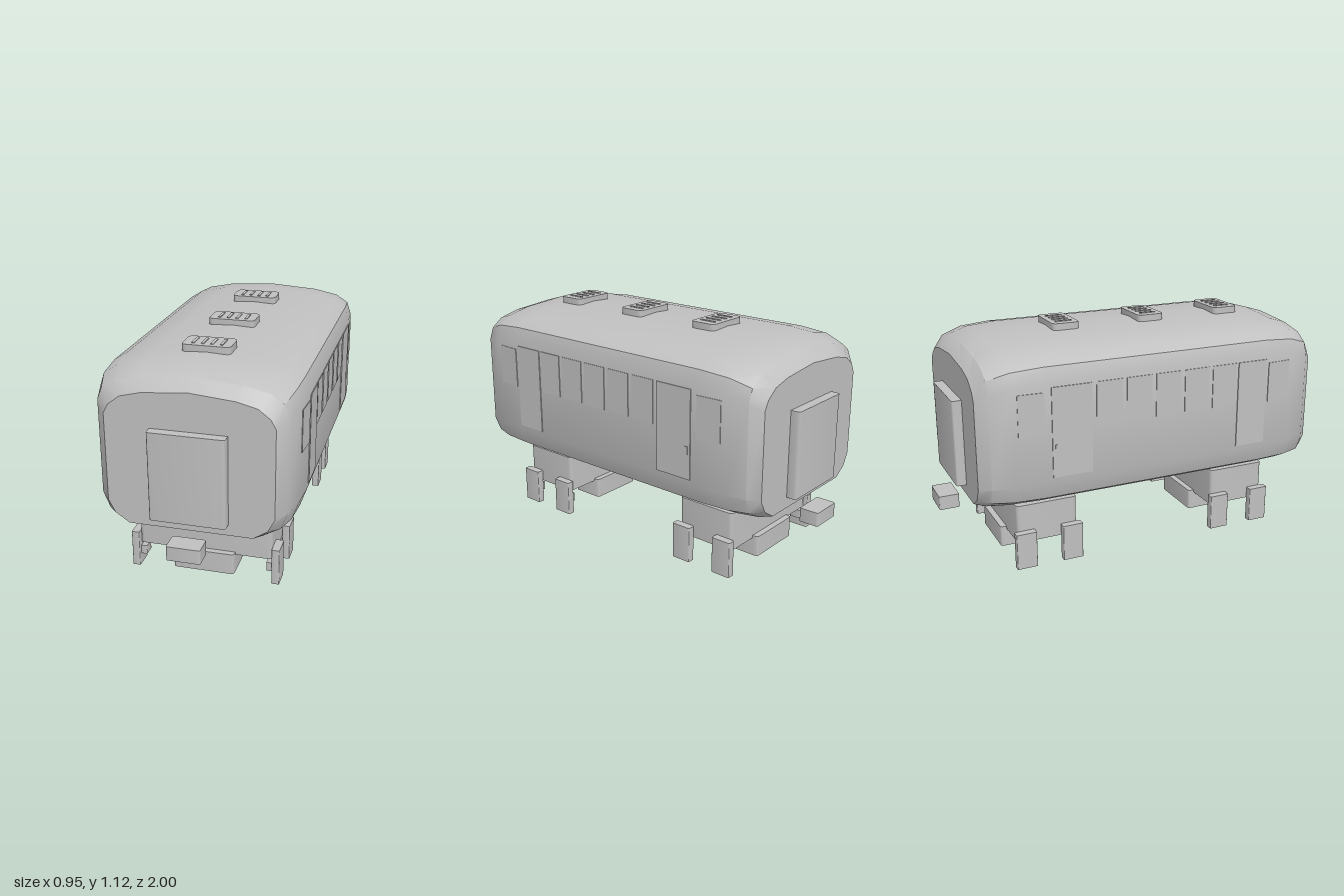
import * as THREE from 'three';
import { toCreasedNormals } from 'three/addons/utils/BufferGeometryUtils.js';

const grey = new THREE.MeshStandardMaterial({ color: 0xc0c0c0 });

// Box given by its centre and size, with the four vertical edges rounded
function block(parent, name, [x, y, z], [w, h, d], r = 0.01) {
  let geo;
  if (r > 0) {
    const a = w / 2, b = d / 2;
    const s = new THREE.Shape();
    s.moveTo(-a + r, -b).lineTo(a - r, -b).quadraticCurveTo(a, -b, a, -b + r);
    s.lineTo(a, b - r).quadraticCurveTo(a, b, a - r, b);
    s.lineTo(-a + r, b).quadraticCurveTo(-a, b, -a, b - r);
    s.lineTo(-a, -b + r).quadraticCurveTo(-a, -b, -a + r, -b);
    geo = new THREE.ExtrudeGeometry(s, { depth: h, bevelEnabled: false, curveSegments: 3 });
    geo.rotateX(-Math.PI / 2).translate(0, -h / 2, 0);
    geo = toCreasedNormals(geo, 0.6);
  } else {
    geo = new THREE.BoxGeometry(w, h, d);
  }
  const mesh = new THREE.Mesh(geo, grey);
  mesh.name = name;
  mesh.position.set(x, y, z);
  parent.add(mesh);
  return mesh;
}

// Body shell lofted from a full middle section to a smaller end section
function bodyGeometry() {
  const middle = [[0.35, 0.335], [0.435, 0.38], [0.466, 0.47], [0.466, 0.94], [0.444, 1.01], [0.38, 1.05], [0.25, 1.076], [0, 1.091]];
  const end = [[0.285, 0.347], [0.35, 0.39], [0.382, 0.45], [0.382, 0.87], [0.36, 0.912], [0.305, 0.955], [0.21, 0.979], [0, 0.998]];
  const half = [[0.886, 0], [0.835, 0.55], [0.734, 0.88], [0.584, 1]];
  const stations = [...half, ...half.slice().reverse().map(([z, t]) => [-z, t])];
  const rings = stations.map(([z, t]) => {
    const right = middle.map(([x, y], i) => [
      THREE.MathUtils.lerp(end[i][0], x, t), THREE.MathUtils.lerp(end[i][1], y, t), z]);
    const left = right.slice(0, -1).reverse().map(([x, y]) => [-x, y, z]);
    return [...right, ...left];
  });
  const n = rings[0].length, pos = [];
  const tri = (...pts) => pts.forEach((p) => pos.push(...p));
  for (let s = 0; s < rings.length - 1; s++) {
    for (let i = 0; i < n; i++) {
      const j = (i + 1) % n, a = rings[s], b = rings[s + 1];
      tri(a[i], b[i], b[j]);
      tri(a[i], b[j], a[j]);
    }
  }
  const first = rings[0], last = rings[rings.length - 1];
  for (let i = 0; i < n; i++) {
    const j = (i + 1) % n;
    tri([0, 0.65, 0.886], first[i], first[j]);
    tri([0, 0.65, -0.886], last[j], last[i]);
  }
  const geo = new THREE.BufferGeometry();
  geo.setAttribute('position', new THREE.Float32BufferAttribute(pos, 3));
  return toCreasedNormals(geo, 0.52);
}

export function createModel() {
  const model = new THREE.Group();
  model.name = 'railCarriage';

  const body = new THREE.Mesh(bodyGeometry(), grey);
  body.name = 'body';
  model.add(body);

  // Gangway plates and couplers at both ends
  for (const s of [1, -1]) {
    block(model, 'gangway', [0, 0.61, s * 0.9], [0.35, 0.42, 0.066], 0.012);
    block(model, 'coupler', [0, 0.284, s * 0.95], [0.156, 0.068, 0.098], 0.008);
  }

  // Roof vents with four slats each
  for (const z of [0.541, 0.112, -0.34]) {
    const vent = new THREE.Group();
    vent.name = 'roofVent';
    block(vent, 'ventBase', [-0.002, 1.095, z], [0.228, 0.044, 0.136], 0.025);
    for (let i = 0; i < 4; i++) {
      block(vent, 'ventSlat', [-0.068 + i * 0.044, 1.118, z], [0.014, 0.005, 0.085], 0.004);
    }
    model.add(vent);
  }

  // Doors and windows on both sides
  for (const s of [1, -1]) {
    const side = new THREE.Group();
    side.name = s > 0 ? 'leftSideDetails' : 'rightSideDetails';
    block(side, 'frontDoor', [s * 0.466, 0.705, 0.493], [0.009, 0.43, 0.16], 0);
    block(side, 'rearDoor', [s * 0.466, 0.705, -0.458], [0.009, 0.43, 0.195], 0);
    block(side, 'doorHandle', [s * 0.47, 0.63, -0.535], [0.008, 0.04, 0.015], 0);
    for (let i = 0; i < 5; i++) {
      block(side, 'window', [s * 0.466, 0.815, 0.335 - i * 0.152], [0.007, 0.21, 0.13], 0);
    }
    for (const e of [1, -1]) {
      const w = block(side, 'endWindow', [s * 0.461, 0.8, e * 0.65], [0.008, 0.2, 0.125], 0);
      w.rotation.y = -s * e * 0.07;
    }
    model.add(side);
  }

  // Bogies: frame, underslung boxes, and four wheel plates on stubs
  for (const z of [0.517, -0.54]) {
    const bogie = new THREE.Group();
    bogie.name = z > 0 ? 'frontBogie' : 'rearBogie';
    bogie.position.z = z;
    block(bogie, 'frame', [0, 0.215, 0], [0.648, 0.19, 0.304], 0.02);
    for (const e of [1, -1]) {
      block(bogie, 'underBox', [0, 0.081, e * 0.096], [0.296, 0.104, 0.172], 0.015);
      for (const s of [1, -1]) {
        block(bogie, 'wheelPlate', [s * 0.344, 0.09, e * 0.118], [0.038, 0.18, 0.102], 0.006);
        block(bogie, 'axleStub', [s * 0.312, 0.076, e * 0.118], [0.032, 0.044, 0.06], 0.005);
      }
    }
    model.add(bogie);
  }
  return model;
}
